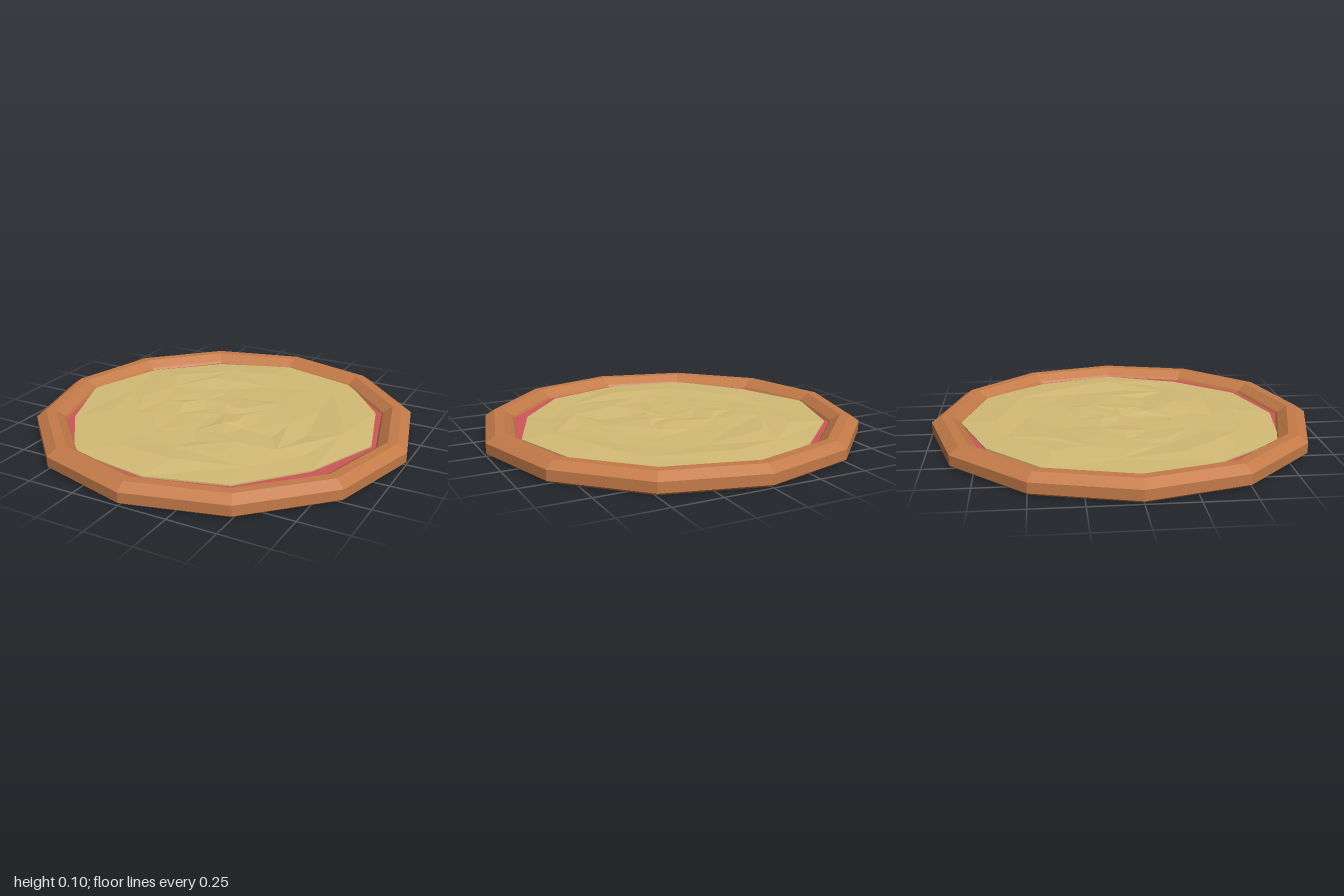
import * as THREE from 'three';

const SIDES = 12;

// Small seeded generator for the uneven cheese
function seeded(seed) {
  let s = seed;
  return () => {
    s = (s * 16807) % 2147483647;
    return s / 2147483647;
  };
}

// Lumpy cheese sheet: concentric jittered rings ending in an uneven edge
function cheeseGeometry() {
  const rand = seeded(41);
  const edge = [0.82, 0.77, 0.8, 0.81, 0.86, 0.8, 0.85, 0.82, 0.81, 0.85, 0.86, 0.81];
  const radii = [0.12, 0.24, 0.37, 0.5, 0.64];
  const pos = [0, 0.068, 0];
  const add = (r, a, y) => pos.push(r * Math.cos(a), y, r * Math.sin(a));
  for (const r of radii) {
    for (let i = 0; i < SIDES; i++) {
      const a = (i + (rand() - 0.5) * 0.5) / SIDES * Math.PI * 2;
      add(r + (rand() - 0.5) * 0.07, a, 0.061 + rand() * 0.02);
    }
  }
  // Outer edge, then a short skirt down into the sauce
  for (const y of [0.061, 0.05]) {
    edge.forEach((r, i) => add(r, i / SIDES * Math.PI * 2, y));
  }
  const index = [];
  for (let i = 0; i < SIDES; i++) {
    const j = (i + 1) % SIDES;
    index.push(0, 1 + j, 1 + i);
    for (let k = 0; k <= radii.length; k++) {
      const a = 1 + k * SIDES + i, b = 1 + k * SIDES + j;
      const c = a + SIDES, d = b + SIDES;
      if ((i + k) % 2) index.push(a, b, c, b, d, c);
      else index.push(a, d, c, a, b, d);
    }
  }
  const g = new THREE.BufferGeometry();
  g.setAttribute('position', new THREE.Float32BufferAttribute(pos, 3));
  g.setIndex(index);
  g.computeVertexNormals();
  return g;
}

export function createModel() {
  const material = (name, color) => {
    const m = new THREE.MeshStandardMaterial({ color, flatShading: true });
    m.name = name;
    return m;
  };
  const crustBrown = material('crustBrown', 0xc47b49);
  const sauceRed = material('sauceRed', 0xcd5859);
  const cheeseYellow = material('cheeseYellow', 0xd3bb76);

  const group = new THREE.Group();
  group.name = 'pizza';
  const add = (name, geometry, mat) => {
    const mesh = new THREE.Mesh(geometry, mat);
    mesh.name = name;
    group.add(mesh);
    return mesh;
  };

  // Base and raised bevelled rim in one turned profile
  const profile = [
    [0, 0], [0.98, 0], [1, 0.014], [1, 0.066], [0.95, 0.1],
    [0.9, 0.1], [0.85, 0.066], [0.84, 0.05],
  ].map(([r, y]) => new THREE.Vector2(r, y));
  add('crust', new THREE.LatheGeometry(profile, SIDES), crustBrown);

  // Flat sauce layer showing around the cheese
  const sauce = new THREE.CircleGeometry(0.845, SIDES).rotateX(-Math.PI / 2);
  add('sauce', sauce, sauceRed).position.y = 0.054;

  add('cheese', cheeseGeometry(), cheeseYellow);
  return group;
}
